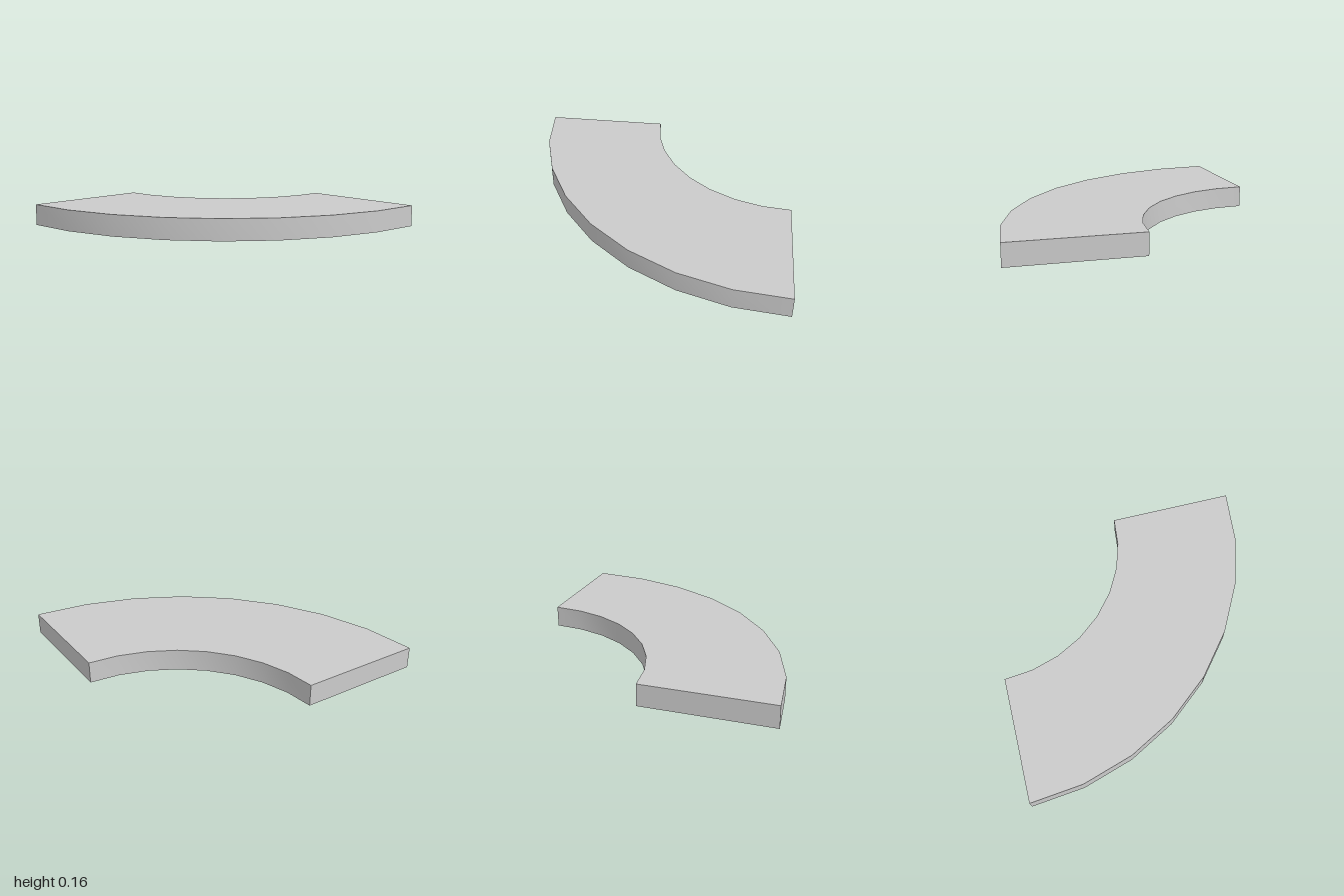
import * as THREE from 'three';
import { toCreasedNormals } from 'three/addons/utils/BufferGeometryUtils.js';

const OUTER = 2, INNER = 1.08, HEIGHT = 0.157, SEGMENTS = 8;

// Points of a quarter arc about the back right corner, sweeping from the back to the right end
function quarterArc(radius) {
  return Array.from({ length: SEGMENTS + 1 }, (_, i) => {
    const a = -(i / SEGMENTS) * Math.PI / 2;
    return new THREE.Vector2(-1 + radius * Math.cos(a), 1 + radius * Math.sin(a));
  });
}

export function createModel() {
  const group = new THREE.Group();
  group.name = 'curvedSlab';

  // Quarter-ring outline, extruded upwards; smooth curved walls, sharp rims
  const outline = new THREE.Shape([...quarterArc(OUTER), ...quarterArc(INNER).reverse()]);
  const slab = new THREE.ExtrudeGeometry(outline, { depth: HEIGHT, bevelEnabled: false });
  slab.rotateX(-Math.PI / 2);

  const mesh = new THREE.Mesh(
    toCreasedNormals(slab, Math.PI / 6),
    new THREE.MeshStandardMaterial({ color: 0xcccccc })
  );
  mesh.name = 'quarterRingSlab';
  group.add(mesh);
  return group;
}
